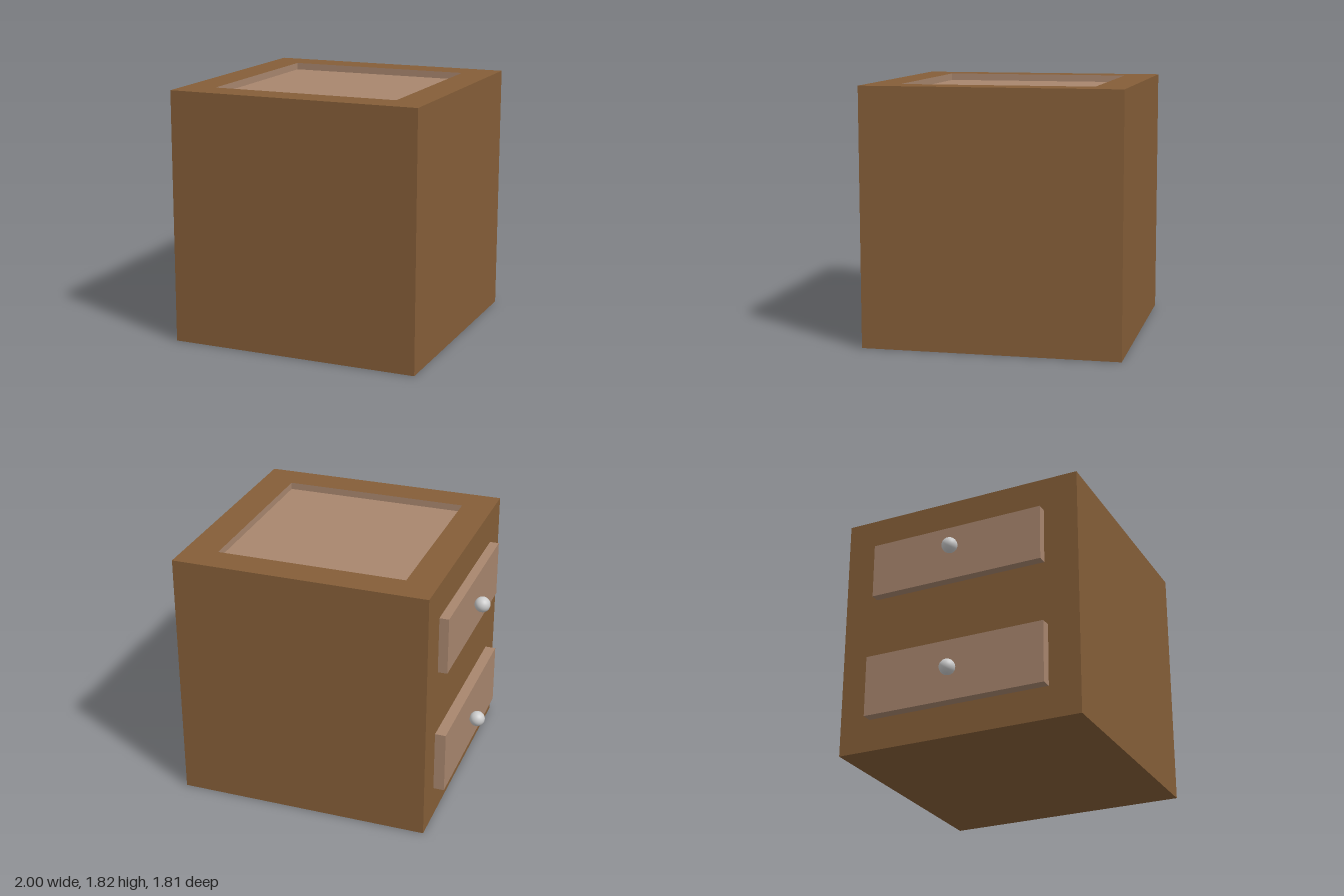
import * as THREE from 'three';

const wood = new THREE.MeshStandardMaterial({ color: 0x855e38 });
const paleWood = new THREE.MeshStandardMaterial({ color: 0xa8866e });
const metal = new THREE.MeshStandardMaterial({ color: 0xcccccc });

const SIDE_X = -0.815, HEIGHT = 1.815, HALF_Z = 0.907;

// Rectangle at height y, counter-clockwise seen from above
const rect = (x0, x1, hz, y) => [[x0, y, hz], [x1, y, hz], [x1, y, -hz], [x0, y, -hz]];

// Joins successive rectangles with flat quads and caps either end
function joinRects(rects, { capFirst = false, capLast = false }) {
  const pos = [];
  const quad = (a, b, c, d) => [a, b, c, a, c, d].forEach((p) => pos.push(...p));
  for (let r = 0; r < rects.length - 1; r++) {
    for (let i = 0; i < 4; i++) {
      const j = (i + 1) % 4;
      quad(rects[r][i], rects[r][j], rects[r + 1][j], rects[r + 1][i]);
    }
  }
  if (capFirst) quad(...[...rects[0]].reverse());
  if (capLast) quad(...rects[rects.length - 1]);
  const geo = new THREE.BufferGeometry();
  geo.setAttribute('position', new THREE.Float32BufferAttribute(pos, 3));
  geo.computeVertexNormals();
  return geo;
}

function addMesh(parent, name, geometry, material) {
  const mesh = new THREE.Mesh(geometry, material);
  mesh.name = name;
  parent.add(mesh);
  return mesh;
}

// Drawer front with a round knob, standing proud of the -x side
function makeDrawer(name, { y0, y1, depth, halfWidth, knobY }) {
  const drawer = new THREE.Group();
  drawer.name = name;
  const panel = addMesh(drawer, 'drawerFront', new THREE.BoxGeometry(depth, y1 - y0, halfWidth * 2), paleWood);
  panel.position.set(SIDE_X - depth / 2, (y0 + y1) / 2, 0);
  const knob = addMesh(drawer, 'knob', new THREE.SphereGeometry(0.056, 32, 24), metal);
  knob.position.set(-0.944, knobY, -0.01);
  return drawer;
}

export function createModel() {
  const model = new THREE.Group();
  model.name = 'bedsideCabinet';

  // Cabinet body with an opening in the top
  const opening = rect(-0.587, 0.763, 0.677, HEIGHT);
  const body = joinRects(
    [rect(SIDE_X, 1, HALF_Z, 0), rect(SIDE_X, 1, HALF_Z, HEIGHT), opening],
    { capFirst: true }
  );
  addMesh(model, 'cabinetBody', body, wood);

  // Shallow recess set into the top
  const recess = joinRects([opening, rect(-0.587, 0.763, 0.677, HEIGHT - 0.05)], { capLast: true });
  addMesh(model, 'topRecess', recess, paleWood);

  // Two drawers
  model.add(makeDrawer('upperDrawer', { y0: 1.156, y1: 1.565, depth: 0.067, halfWidth: 0.656, knobY: 1.385 }));
  model.add(makeDrawer('lowerDrawer', { y0: 0.232, y1: 0.678, depth: 0.077, halfWidth: 0.677, knobY: 0.45 }));

  return model;
}
